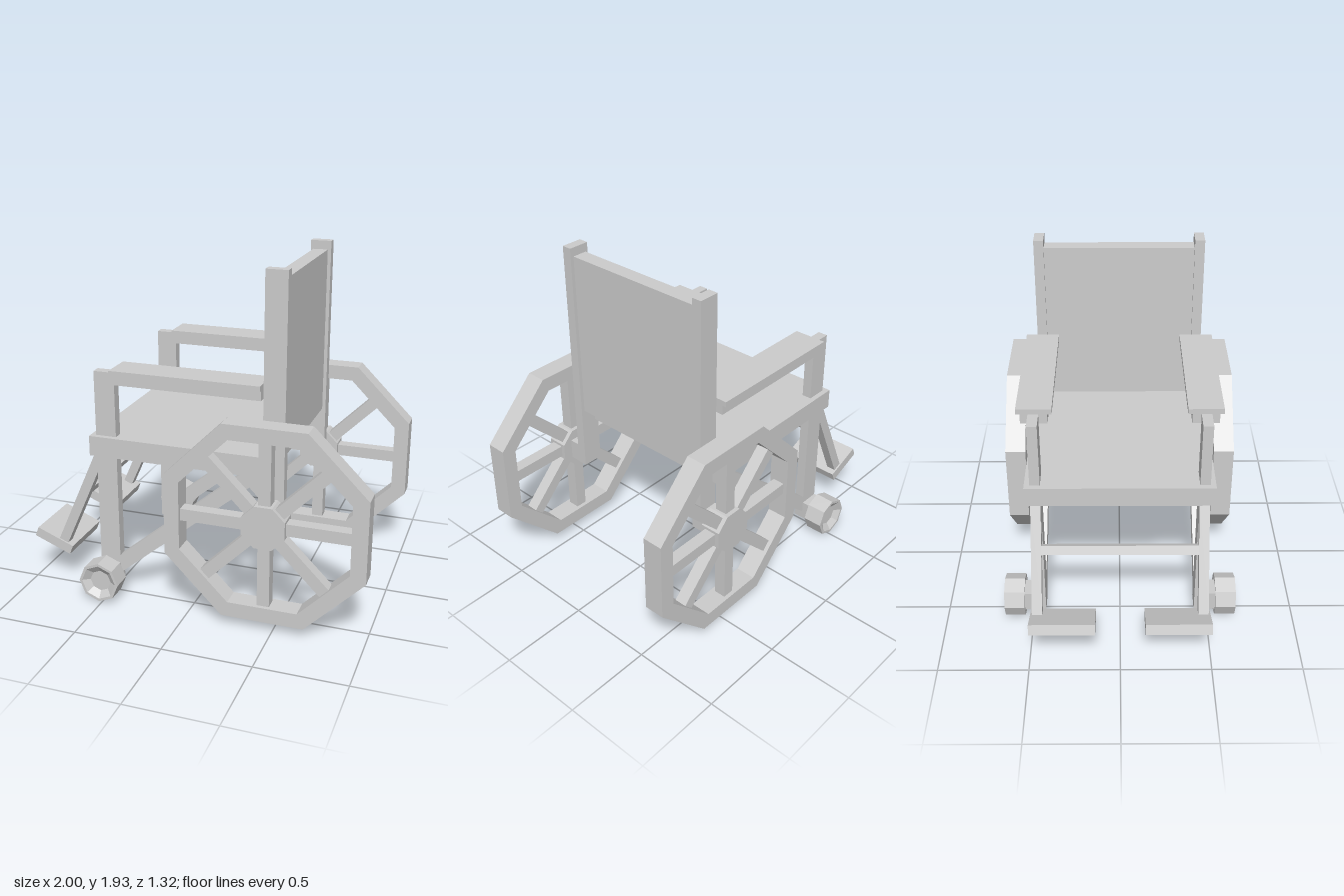
import * as THREE from 'three';

const mat = new THREE.MeshStandardMaterial({ color: 0xcccccc, flatShading: true });

function add(parent, name, geometry) {
  const mesh = new THREE.Mesh(geometry, mat);
  mesh.name = name;
  parent.add(mesh);
  return mesh;
}

// Box given by its limits on each axis
function block(parent, name, [x0, x1], [y0, y1], [z0, z1]) {
  const mesh = add(parent, name, new THREE.BoxGeometry(x1 - x0, y1 - y0, z1 - z0));
  mesh.position.set((x0 + x1) / 2, (y0 + y1) / 2, (z0 + z1) / 2);
  return mesh;
}

// Slanted bar between two points of the xy plane
function strut(parent, name, [ax, ay], [bx, by], width, [z0, z1]) {
  const length = Math.hypot(bx - ax, by - ay);
  const mesh = add(parent, name, new THREE.BoxGeometry(length, width, z1 - z0));
  mesh.position.set((ax + bx) / 2, (ay + by) / 2, (z0 + z1) / 2);
  mesh.rotation.z = Math.atan2(by - ay, bx - ax);
  return mesh;
}

const octagon = (apothem) => Array.from({ length: 8 }, (_, i) => {
  const a = (i + 0.5) * Math.PI / 4, r = apothem / Math.cos(Math.PI / 8);
  return new THREE.Vector2(r * Math.cos(a), r * Math.sin(a));
});

// Eight-sided drive wheel with rim, spokes and hub
function driveWheel() {
  const wheel = new THREE.Group();
  wheel.name = 'driveWheel';
  const shape = new THREE.Shape(octagon(0.553));
  shape.holes.push(new THREE.Path(octagon(0.468).reverse()));
  const rim = new THREE.ExtrudeGeometry(shape, { depth: 0.116, bevelEnabled: false });
  add(wheel, 'rim', rim.translate(0, 0, -0.058));
  for (let i = 0; i < 8; i++) {
    const spoke = new THREE.BoxGeometry(0.4, 0.068, 0.07).translate(0.28, 0, 0);
    add(wheel, 'spoke', spoke.rotateZ(i * Math.PI / 4));
  }
  const r = 0.119 / Math.cos(Math.PI / 8);
  const hub = new THREE.CylinderGeometry(r, r, 0.118, 8, 1, false, Math.PI / 8);
  add(wheel, 'hub', hub.rotateX(Math.PI / 2));
  return wheel;
}

// Small front wheel with dished faces
function casterWheel() {
  const profile = [[0, -0.03], [0.062, -0.03], [0.102, -0.058], [0.118, -0.058],
    [0.118, 0.058], [0.102, 0.058], [0.062, 0.03], [0, 0.03]];
  const points = profile.map(([r, y]) => new THREE.Vector2(r, y));
  return new THREE.LatheGeometry(points, 8).rotateX(Math.PI / 2);
}

export function createModel() {
  const model = new THREE.Group();
  model.name = 'wheelchair';

  // Seat, backrest and the bar between the footrest arms
  block(model, 'seat', [-0.61, 0.41], [0.825, 0.94], [-0.513, 0.513]);
  block(model, 'backrest', [0.4, 0.485], [0.918, 1.88], [-0.43, 0.43]);
  const bar = strut(model, 'footrestCrossbar', [-0.664, 0.603], [-0.686, 0.557], 0.05, [-0.43, 0.43]);
  bar.name = 'footrestCrossbar';

  // Paired parts, mirrored in z
  const mirror = (s, [a, b]) => (s > 0 ? [a, b] : [-b, -a]);
  for (const s of [1, -1]) {
    const side = new THREE.Group();
    side.name = s > 0 ? 'leftSide' : 'rightSide';
    model.add(side);
    const post = mirror(s, [0.427, 0.483]);
    const axle = mirror(s, [0.427, 0.55]);

    // Frame
    block(side, 'backPost', [0.385, 0.505], [0.545, 1.93], post);
    block(side, 'frontPost', [-0.58, -0.46], [0.055, 1.31], post);
    strut(side, 'diagonalBrace', [-0.5, 0.126], [0.37, 0.85], 0.085, post);

    // Armrest
    block(side, 'armrestRail', [-0.46, 0.385], [1.255, 1.31], mirror(s, [0.38, 0.525]));
    block(side, 'armrestPad', [-0.46, 0.385], [1.31, 1.34], mirror(s, [0.357, 0.547]));

    // Footrest
    strut(side, 'footrestArm', [-0.565, 0.82], [-0.825, 0.24], 0.058, post);
    strut(side, 'footplate', [-0.99, 0.287], [-0.77, 0.2], 0.058, mirror(s, [0.135, 0.493]));

    // Wheels and axles
    block(side, 'driveAxle', [0.385, 0.505], [0.547, 0.667], axle);
    const wheel = driveWheel();
    wheel.position.set(0.443, 0.607, s * 0.603);
    side.add(wheel);
    block(side, 'casterAxle', [-0.58, -0.46], [0.055, 0.17], axle);
    add(side, 'casterWheel', casterWheel()).position.set(-0.518, 0.118, s * 0.603);
  }
  return model;
}
